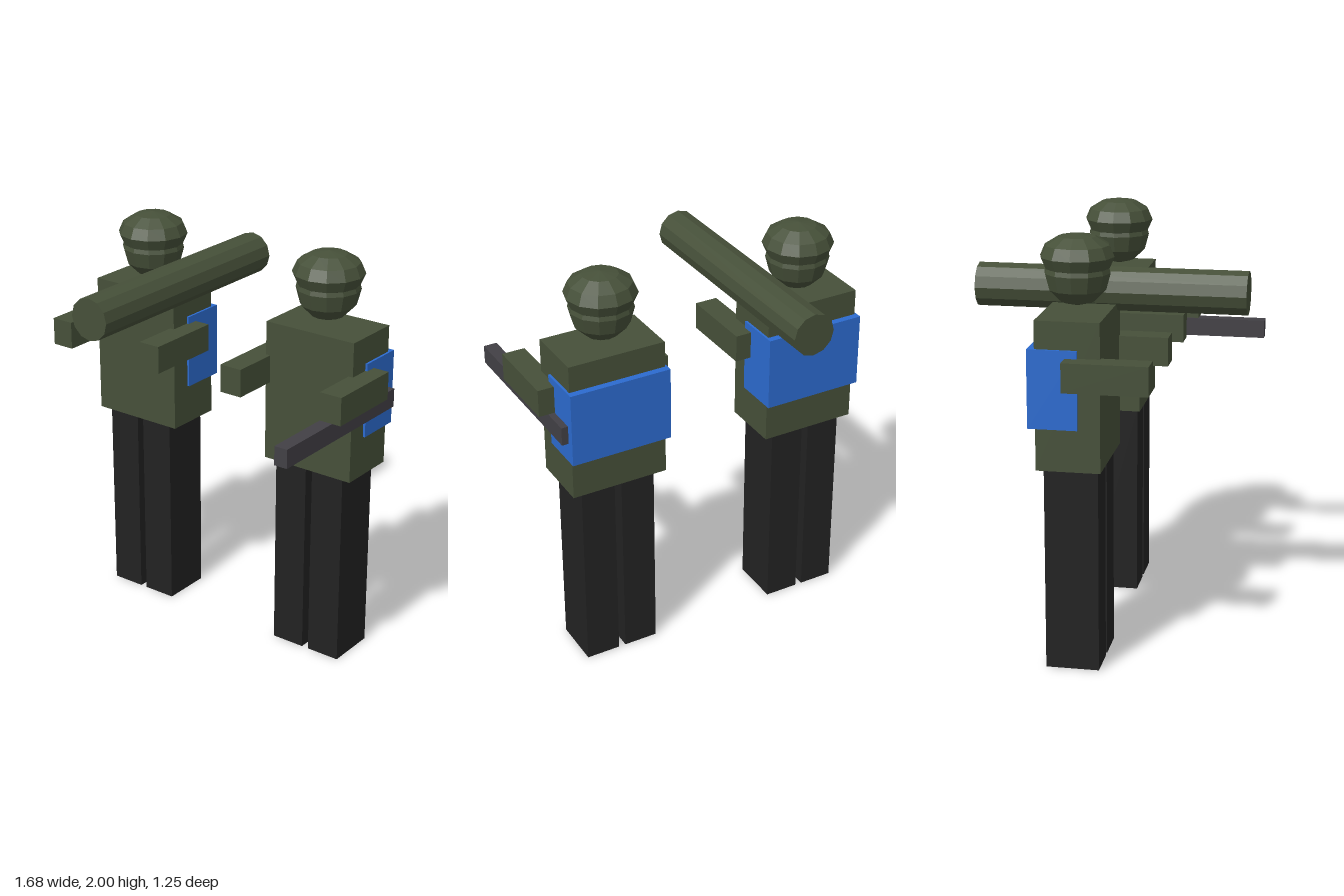
import * as THREE from 'three';

const mat = (name, color) => new THREE.MeshStandardMaterial({ name, color });

export function createModel() {
  const olive = mat('olive', 0x465039);
  const black = mat('black', 0x222222);
  const blue = mat('blue', 0x2c6bcf);
  const gunGrey = mat('gunGrey', 0x424045);

  const add = (parent, name, geometry, material, x, y, z) => {
    const mesh = new THREE.Mesh(geometry, material);
    mesh.name = name;
    mesh.position.set(x, y, z);
    parent.add(mesh);
    return mesh;
  };
  const box = (parent, name, material, size, pos) =>
    add(parent, name, new THREE.BoxGeometry(...size), material, ...pos);
  // low-poly parts get one normal per facet
  const faceted = (geometry) => {
    const flat = geometry.toNonIndexed();
    flat.computeVertexNormals();
    return flat;
  };

  function soldier(name, x) {
    const g = new THREE.Group();
    g.name = name;
    g.position.x = x;
    // body, pack and limbs
    box(g, 'torso', olive, [0.477, 0.683, 0.293], [0, 1.31, -0.116]);
    box(g, 'backpack', blue, [0.499, 0.36, 0.225], [0, 1.344, -0.183]);
    for (const [side, s] of [['left', 1], ['right', -1]]) {
      box(g, side + 'Leg', black, [0.169, 0.972, 0.248], [s * 0.102, 0.486, -0.114]);
      box(g, side + 'Arm', olive, [0.113, 0.134, 0.385], [s * 0.272, 1.422, 0.067]);
    }
    // head with a flattened helmet over it
    add(g, 'head', faceted(new THREE.SphereGeometry(0.15, 12, 6)), olive, 0, 1.824, -0.116);
    const helmet = new THREE.SphereGeometry(0.168, 12, 6).scale(1, 0.61, 1);
    add(g, 'helmet', faceted(helmet), olive, 0, 1.897, -0.116);
    return g;
  }

  const model = new THREE.Group();
  model.name = 'soldierPair';
  const tubeSoldier = soldier('tubeSoldier', -0.514);
  const rifleSoldier = soldier('rifleSoldier', 0.508);
  model.add(tubeSoldier, rifleSoldier);

  // shoulder tube
  const tube = new THREE.CylinderGeometry(0.102, 0.102, 1.246, 12).rotateX(Math.PI / 2);
  add(tubeSoldier, 'shoulderTube', faceted(tube), olive, 0.228, 1.708, 0);
  // long gun under the left arm
  box(rifleSoldier, 'rifle', gunGrey, [0.066, 0.09, 0.857], [0.249, 1.308, 0.17]);

  return model;
}
